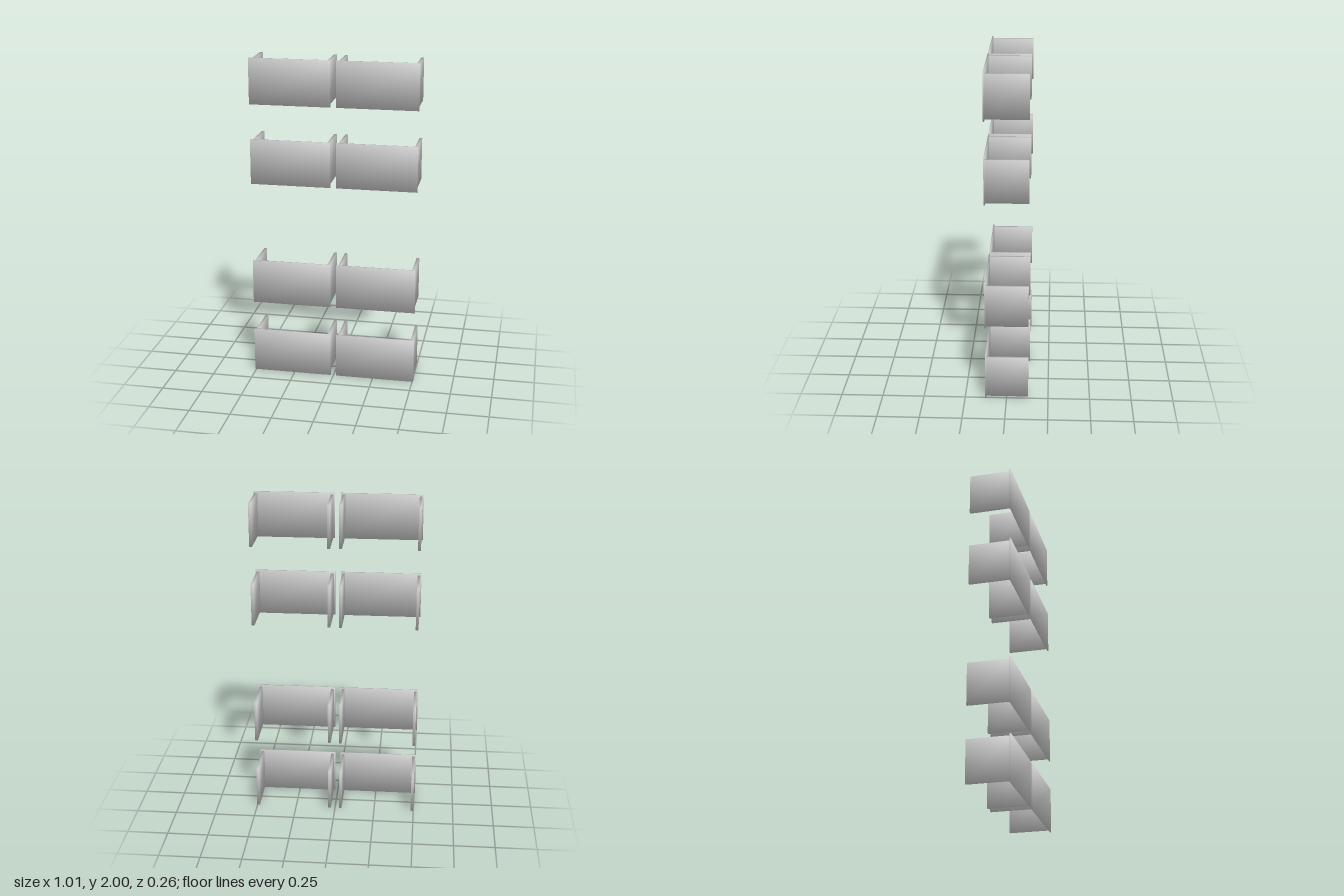
import * as THREE from 'three';

const metal = new THREE.MeshStandardMaterial({ color: 0xcccccc });
metal.name = 'lightGrey';

// Box between two corners, with normals shared at each corner for soft shading
function softPanel(name, [x0, y0, z0], [x1, y1, z1]) {
  const geometry = new THREE.BoxGeometry(x1 - x0, y1 - y0, z1 - z0);
  const position = geometry.attributes.position;
  const normal = geometry.attributes.normal;
  const v = new THREE.Vector3();
  for (let i = 0; i < position.count; i++) {
    v.fromBufferAttribute(position, i);
    v.set(Math.sign(v.x), Math.sign(v.y), Math.sign(v.z)).normalize();
    normal.setXYZ(i, v.x, v.y, v.z);
  }
  const mesh = new THREE.Mesh(geometry, metal);
  mesh.name = name;
  mesh.position.set((x0 + x1) / 2, (y0 + y1) / 2, (z0 + z1) / 2);
  return mesh;
}

// One drawer: a thin front and two side panels; side is +1 (left) or -1 (right)
function makeDrawer(side) {
  const drawer = new THREE.Group();
  const add = (name, a, b, y0, y1, z0, z1) => drawer.add(softPanel(
    name,
    [Math.min(a * side, b * side), y0, z0],
    [Math.max(a * side, b * side), y1, z1],
  ));
  add('drawerFront', 0.0175, 0.507, 0, 0.278, 0.122, 0.129);
  add('innerSide', 0.026, 0.043, 0.011, 0.268, -0.13, 0.122);
  add('outerSide', 0.482, 0.499, 0.011, 0.268, -0.13, 0.122);
  return drawer;
}

export function createModel() {
  const model = new THREE.Group();
  model.name = 'drawerFronts';
  // Four rows in two columns, with a wide gap in the middle
  [0, 0.462, 1.232, 1.722].forEach((y, row) => {
    for (const side of [-1, 1]) {
      const drawer = makeDrawer(side);
      drawer.name = `${side > 0 ? 'left' : 'right'}Drawer${row + 1}`;
      drawer.position.y = y;
      model.add(drawer);
    }
  });
  return model;
}
